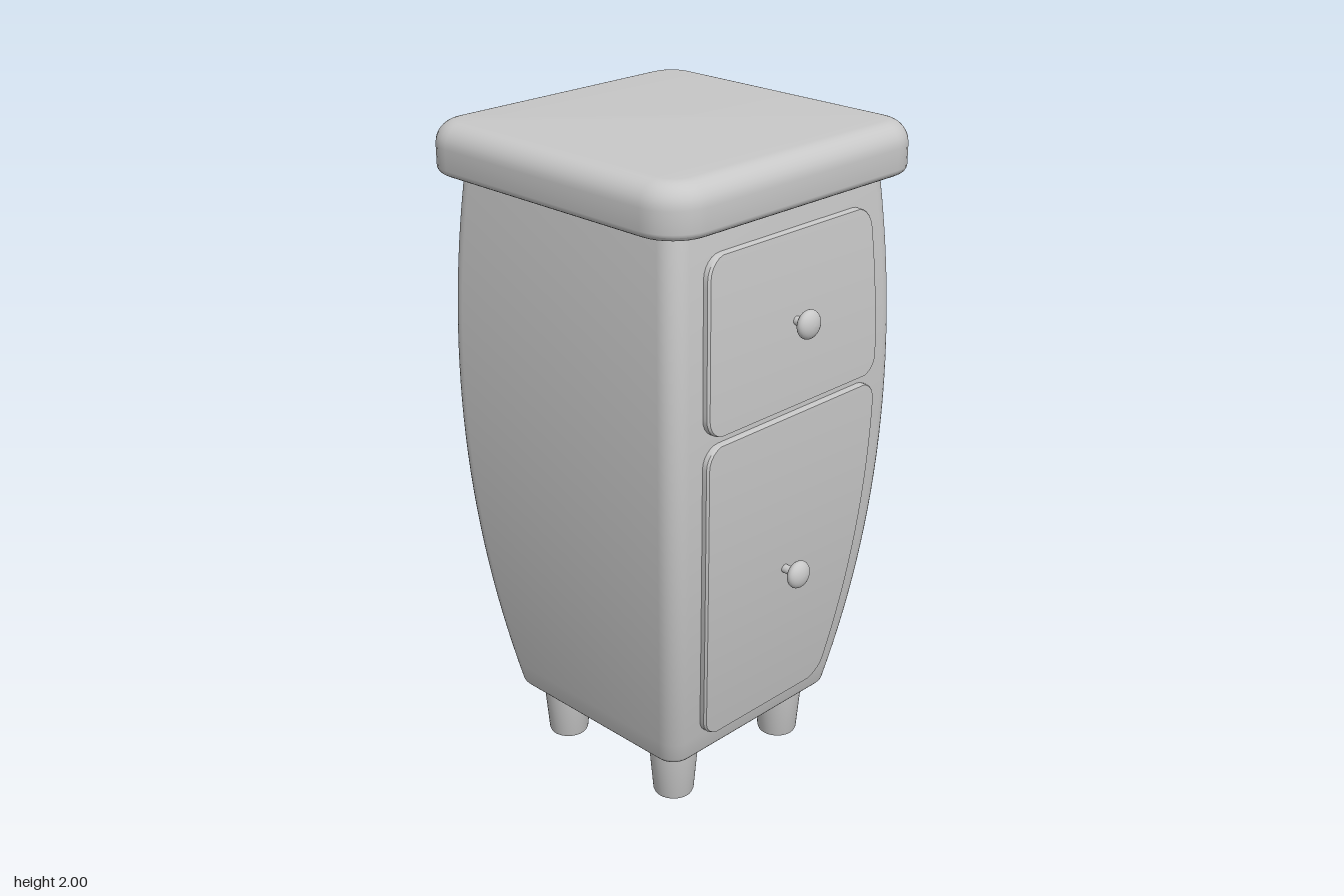
import * as THREE from 'three';
import { toCreasedNormals } from 'three/addons/utils/BufferGeometryUtils.js';

const CZ = -0.02; // centre of the cabinet in z; knobs extend further forward

// Half-width of the bulging body at height y
const bulge = (y) => 0.46 - 0.0924 * (y - 1.27) ** 2;

// Skin a list of equal-length rings (bottom to top) and cap both ends
function loft(rings) {
  const n = rings[0].length;
  const index = [];
  for (let i = 0; i < rings.length - 1; i++) {
    for (let j = 0; j < n; j++) {
      const a = i * n + j, b = i * n + (j + 1) % n;
      index.push(a, a + n, b + n, a, b + n, b);
    }
  }
  const top = (rings.length - 1) * n;
  for (let j = 1; j < n - 1; j++) {
    index.push(0, j, j + 1, top, top + j + 1, top + j);
  }
  const geo = new THREE.BufferGeometry();
  geo.setAttribute('position', new THREE.Float32BufferAttribute(rings.flat(2), 3));
  geo.setIndex(index);
  return toCreasedNormals(geo, 0.6);
}

// Horizontal rounded square
function roundedSquare(y, half, radius) {
  const ring = [], steps = 8;
  for (let q = 0; q < 4; q++) {
    const mid = (q + 0.5) * Math.PI / 2;
    const cx = Math.sign(Math.cos(mid)) * (half - radius);
    const cz = Math.sign(Math.sin(mid)) * (half - radius);
    for (let s = 0; s <= steps; s++) {
      const a = (q + s / steps) * Math.PI / 2;
      ring.push([cx + radius * Math.cos(a), y, CZ + cz + radius * Math.sin(a)]);
    }
  }
  return ring;
}

function bodyGeometry() {
  const rings = [], y0 = 0.18, y1 = 1.88, r = 0.02;
  // softened bottom edge
  for (let k = 0; k < 4; k++) {
    const a = k / 4 * Math.PI / 2;
    const y = y0 + r * (1 - Math.cos(a)), inset = r * (1 - Math.sin(a));
    rings.push(roundedSquare(y, bulge(y) - inset, 0.06 - inset));
  }
  for (let i = 0; i <= 28; i++) {
    const y = y0 + r + (y1 - y0 - r) * i / 28;
    rings.push(roundedSquare(y, bulge(y), 0.06));
  }
  return loft(rings);
}

function topGeometry() {
  const rings = [], half = 0.5, corner = 0.12;
  const edge = (y, inset) => rings.push(roundedSquare(y, half - inset, corner - inset));
  for (let k = 0; k <= 4; k++) {
    const a = k / 4 * Math.PI / 2;
    edge(1.855 + 0.02 * (1 - Math.cos(a)), 0.02 * (1 - Math.sin(a)));
  }
  for (let k = 0; k <= 8; k++) {
    const a = k / 8 * Math.PI / 2;
    edge(1.935 + 0.065 * Math.sin(a), 0.065 * (1 - Math.cos(a)));
  }
  return loft(rings);
}

// Curved front panel with rounded corners and a fine bevel
function panelGeometry(y0, y1) {
  const r = 0.06, bevel = 0.006, rows = [];
  for (let k = 0; k <= 6; k++) {
    const a = k / 6 * Math.PI / 2;
    rows.push([y0 + r * (1 - Math.cos(a)), r * (1 - Math.sin(a))]);
  }
  for (let i = 1; i < 16; i++) rows.push([y0 + r + (y1 - y0 - 2 * r) * i / 16, 0]);
  for (let k = 6; k >= 0; k--) {
    const a = k / 6 * Math.PI / 2;
    rows.push([y1 - r * (1 - Math.cos(a)), r * (1 - Math.sin(a))]);
  }
  return loft(rows.map(([y, inset], i) => {
    const h = bulge(y) - 0.11 - inset;
    const end = i === 0 || i === rows.length - 1;
    const back = CZ + bulge(y) - 0.02;
    const front = CZ + bulge(y) + (end ? 0.015 : 0.021);
    return [[h, y, back], [h, y, front - bevel], [h - bevel, y, front],
      [bevel - h, y, front], [-h, y, front - bevel], [-h, y, back]];
  }));
}

// Knob profile: slim stem and a flattened button
function knobGeometry() {
  const pts = [new THREE.Vector2(0.013, -0.075), new THREE.Vector2(0.013, -0.022)];
  for (let k = 1; k <= 14; k++) {
    const a = -Math.PI / 2 + k / 14 * Math.PI;
    pts.push(new THREE.Vector2(Math.max(0, 0.042 * Math.cos(a)), 0.024 * Math.sin(a)));
  }
  return new THREE.LatheGeometry(pts, 32).rotateX(Math.PI / 2);
}

// Tapered foot with a softened base
function footGeometry() {
  const pts = [[0, 0], [0.052, 0], [0.059, 0.003], [0.062, 0.011], [0.077, 0.19]];
  const geo = new THREE.LatheGeometry(pts.map(([x, y]) => new THREE.Vector2(x, y)), 32);
  return toCreasedNormals(geo, 0.6);
}

export function createModel() {
  const model = new THREE.Group();
  model.name = 'cabinet';
  const grey = new THREE.MeshStandardMaterial({ color: 0xc8c8c8 });
  grey.name = 'light grey';

  const add = (name, geometry, x = 0, y = 0, z = 0) => {
    const mesh = new THREE.Mesh(geometry, grey);
    mesh.name = name;
    mesh.position.set(x, y, z);
    model.add(mesh);
  };

  add('body', bodyGeometry());
  add('top', topGeometry());
  add('drawerFront', panelGeometry(1.28, 1.78));
  add('doorFront', panelGeometry(0.26, 1.255));

  const knob = knobGeometry();
  add('drawerKnob', knob, 0, 1.53, 0.498);
  add('doorKnob', knob, 0, 0.76, 0.49);

  // four feet
  const foot = footGeometry();
  for (const sx of [-1, 1]) {
    for (const sz of [-1, 1]) {
      const name = (sz > 0 ? 'front' : 'back') + (sx > 0 ? 'Left' : 'Right') + 'Foot';
      add(name, foot, sx * 0.237, 0, CZ + sz * 0.238);
    }
  }
  return model;
}
